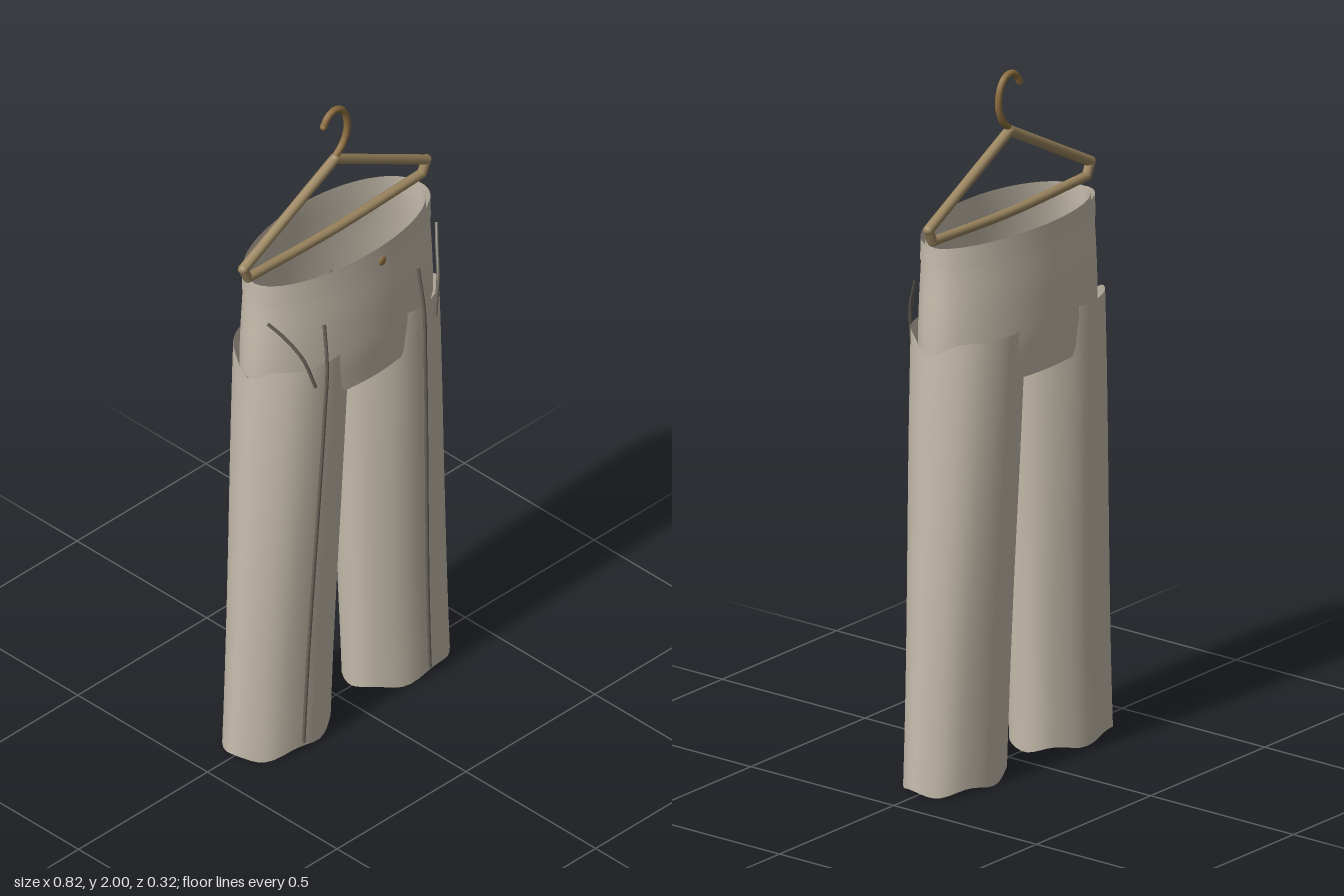
import * as THREE from 'three';

const fabric = new THREE.MeshStandardMaterial({ color: 0xc6bcac, side: THREE.DoubleSide });
fabric.name = 'fabric';
const stitch = new THREE.MeshStandardMaterial({ color: 0x69645b });
stitch.name = 'stitching';
const wood = new THREE.MeshStandardMaterial({ color: 0x9c8660 });
wood.name = 'hangerWood';
const brass = new THREE.MeshStandardMaterial({ color: 0x8c6d3f });
brass.name = 'brass';

const V = (x, y, z) => new THREE.Vector3(x, y, z);
const lerp = THREE.MathUtils.lerp;
const smooth = THREE.MathUtils.smoothstep;

// Open surface from a rule point(angle, t), with t running from bottom to top
function loft(name, segs, rows, point) {
  const pos = [], uv = [], idx = [];
  for (let j = 0; j <= rows; j++) {
    for (let i = 0; i < segs; i++) {
      pos.push(...point((i / segs) * Math.PI * 2, j / rows));
      uv.push(i / segs, j / rows);
      if (j < rows) {
        const a = j * segs + i, b = j * segs + (i + 1) % segs;
        idx.push(a, a + segs, b, b, a + segs, b + segs);
      }
    }
  }
  const g = new THREE.BufferGeometry();
  g.setAttribute('position', new THREE.Float32BufferAttribute(pos, 3));
  g.setAttribute('uv', new THREE.Float32BufferAttribute(uv, 2));
  g.setIndex(idx);
  g.computeVertexNormals();
  const m = new THREE.Mesh(g, fabric);
  m.name = name;
  return m;
}

function tube(name, points, radius, material, segs = 20) {
  const curve = points.length === 2
    ? new THREE.LineCurve3(...points) : new THREE.CatmullRomCurve3(points);
  const m = new THREE.Mesh(new THREE.TubeGeometry(curve, segs, radius, 8), material);
  m.name = name;
  return m;
}

// Ball that closes a tube end or joint
function knob(name, p, radius, material) {
  const m = new THREE.Mesh(new THREE.SphereGeometry(radius, 10, 8), material);
  m.name = name;
  m.position.copy(p);
  return m;
}

// Leg cross-section at height y: middle, half width and half depth
const legAt = (y) => {
  const inner = lerp(0.057, 0.004, y / 1.31), outer = lerp(0.408, 0.342, y / 1.31);
  return { c: (inner + outer) / 2, w: (outer - inner) / 2, d: lerp(0.115, 0.15, smooth(y, 0, 1.4)) };
};

function makeLeg(side, name) {
  return loft(name, 40, 16, (a, t) => {
    const cos = Math.cos(a), sin = Math.sin(a);
    const hem = 0.009 + 0.008 * Math.sin(a * 5 + side);
    const top = 1.308 - 0.045 * Math.max(0, cos * side) ** 14;
    const y = lerp(hem, top, t);
    const { c, w, d } = legAt(y);
    const fold = 1 + 0.012 * Math.sin(a * 7 + side) * (1 - t * 0.5);
    return [side * c + w * cos * fold, y, d * sin * fold];
  });
}

// Hip ellipse at height y
const hipAt = (y) => ({
  w: lerp(0.341, 0.328, smooth(y, 1.28, 1.56)),
  d: lerp(0.148, 0.157, smooth(y, 1.15, 1.3)) - 0.006 * smooth(y, 1.4, 1.58),
});

export function createModel() {
  const model = new THREE.Group();
  model.name = 'trousersOnHanger';

  // Hip piece, dropping lower at the middle of the front and back
  model.add(loft('hips', 96, 14, (a, t) => {
    const cos = Math.cos(a), sin = Math.sin(a);
    const bottom = 1.172 + 0.09 * smooth(Math.abs(cos), 0.33, 0.45) - 0.004 * Math.abs(sin);
    const y = lerp(bottom, 1.57 + 0.015 * Math.abs(sin), t);
    const { w, d } = hipAt(y);
    return [w * cos, y, d * sin];
  }));

  // Waistband, outer and inner face
  for (const [name, off] of [['waistband', 0.003], ['waistbandLining', -0.01]]) {
    model.add(loft(name, 64, 2, (a, t) => {
      const cos = Math.cos(a), sin = Math.sin(a);
      const y = lerp(1.518, 1.57 + 0.015 * Math.abs(sin), t);
      const { w, d } = hipAt(y);
      return [(w + off) * cos, y, (d + off) * sin];
    }));
  }

  for (const side of [1, -1]) {
    const label = side > 0 ? 'left' : 'right';
    model.add(makeLeg(side, label + 'Leg'));

    // Front crease, lying on the hip and then the leg
    const crease = [];
    for (let i = 0; i <= 10; i++) {
      const y = lerp(1.43, 0.03, i / 10), x = lerp(0.182, 0.245, i / 10);
      const hip = hipAt(y), leg = legAt(y);
      const zHip = y > 1.22 ? hip.d * Math.sqrt(1 - (x / hip.w) ** 2) : 0;
      const zLeg = y < 1.32 ? leg.d * Math.sqrt(1 - ((x - leg.c) / leg.w) ** 2) : 0;
      crease.push(V(side * x, y, Math.max(zHip, zLeg) + 0.003));
    }
    model.add(tube(label + 'Crease', crease, 0.005, stitch, 40));

    // Slanted pocket edge
    model.add(tube(label + 'PocketEdge', [
      V(side * 0.328, 1.47, 0.06), V(side * 0.295, 1.42, 0.095),
      V(side * 0.262, 1.35, 0.132), V(side * 0.232, 1.25, 0.151),
    ], 0.005, stitch));

    // Hanger shoulder and end piece
    const tip = V(side * 0.355, 1.635, -0.006), low = V(side * 0.338, 1.597, -0.006);
    model.add(tube(label + 'HangerArm', [V(0, 1.825, -0.006), tip], 0.015, wood, 1));
    model.add(tube(label + 'HangerEnd', [tip, low], 0.014, wood, 1));
    model.add(knob(label + 'HangerTip', tip, 0.015, wood));
    model.add(knob(label + 'HangerCorner', low, 0.014, wood));
  }

  // Hanger crossbar, sagging slightly
  model.add(tube('hangerBar', [
    V(-0.338, 1.597, -0.006), V(0, 1.587, -0.006), V(0.338, 1.597, -0.006),
  ], 0.014, wood));
  model.add(knob('hangerPeak', V(0, 1.825, -0.006), 0.015, wood));

  // Hook
  model.add(tube('hook', [
    V(0, 1.83, -0.006), V(0.03, 1.86, -0.006), V(0.047, 1.9, -0.006), V(0.043, 1.95, -0.006),
    V(0.022, 1.982, -0.006), V(-0.005, 1.99, -0.006), V(-0.03, 1.977, -0.006), V(-0.044, 1.955, -0.006),
  ], 0.01, brass, 32));
  model.add(knob('hookTip', V(-0.044, 1.955, -0.006), 0.01, brass));

  // Waist button
  const button = knob('button', V(0.022, 1.55, 0.156), 0.014, brass);
  button.scale.z = 0.4;
  model.add(button);

  return model;
}
